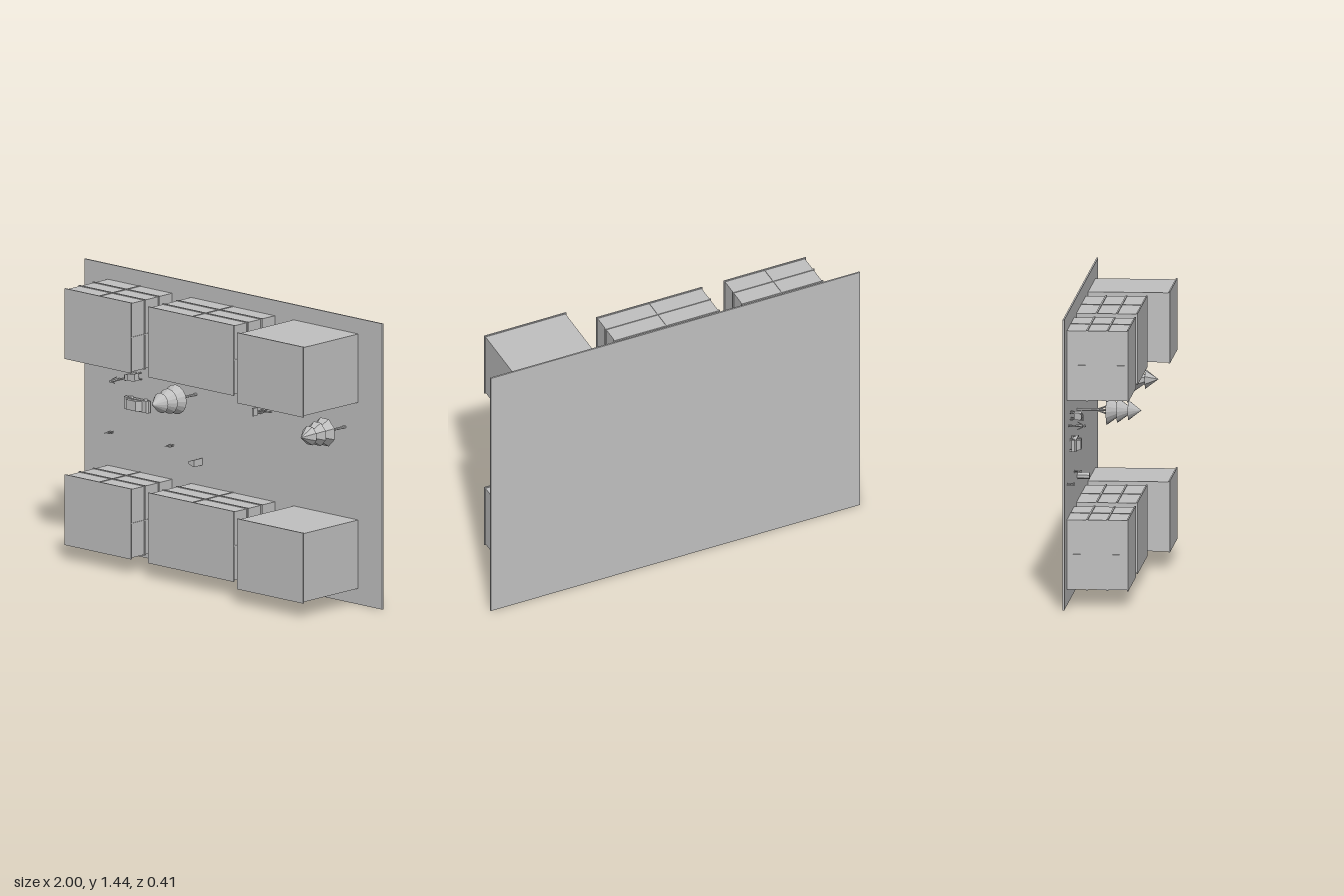
import * as THREE from 'three';

const grey = new THREE.MeshStandardMaterial({ color: 0xc0c0c0 });
grey.name = 'plain grey';
grey.flatShading = true;

// The city is built y-up on a ground at y = 0, then tipped so that up faces the front.
export function createModel() {
  const model = new THREE.Group();
  const city = new THREE.Group();
  city.name = 'city';
  city.rotation.x = Math.PI / 2;
  city.position.z = -0.197;
  model.add(city);

  const mesh = (parent, name, geo, x = 0, y = 0, z = 0) => {
    const m = new THREE.Mesh(geo, grey);
    m.name = name;
    m.position.set(x, y, z);
    parent.add(m);
    return m;
  };
  // Box standing on height y
  const box = (parent, name, w, h, d, x = 0, y = 0, z = 0) =>
    mesh(parent, name, new THREE.BoxGeometry(w, h, d), x, y + h / 2, z);
  // Thin round bar between two points
  const bar = (parent, name, a, b, r1, r2 = r1) => {
    const p = new THREE.Vector3(...a), q = new THREE.Vector3(...b);
    const dir = q.clone().sub(p);
    const m = mesh(parent, name, new THREE.CylinderGeometry(r2, r1, dir.length(), 6));
    m.position.copy(p).add(q).multiplyScalar(0.5);
    m.quaternion.setFromUnitVectors(new THREE.Vector3(0, 1, 0), dir.normalize());
  };
  // Group placed by its position across and up the plate
  const place = (name, x, up) => {
    const g = new THREE.Group();
    g.name = name;
    g.position.set(x, 0, -up);
    city.add(g);
    return g;
  };

  box(city, 'ground', 2, 0.008, 1.44, 0, -0.008, -0.72);

  // Two rows of blocks: two with floor ledges and a taller plain one
  for (const up of [0.2525, 1.19]) {
    for (const [x, w, h, ledged] of [[-0.6275, 0.445, 0.302, true], [-0.0025, 0.575, 0.302, true], [0.6225, 0.445, 0.402, false]]) {
      const b = place('building', x, up);
      box(b, 'walls', w - 0.012, h - 0.006, 0.345);
      box(b, 'roof', w, 0.007, 0.355, 0, h - 0.007);
      if (!ledged) continue;
      for (const y of [0.095, 0.195]) box(b, 'floorLedge', w - 0.002, 0.008, 0.353, 0, y);
      box(b, 'wallRibAcross', w - 0.006, h - 0.006, 0.005);
      box(b, 'wallRibAlong', 0.005, h - 0.006, 0.351);
    }
  }

  // Fir trees: three stacked cones on a forked trunk
  for (const [x, sides] of [[-0.25, 16], [0.75, 8]]) {
    const t = place('tree', x, 0.88);
    bar(t, 'trunk', [0, 0, 0], [0, 0.27, 0], 0.007, 0.004);
    for (const s of [-1, 1]) bar(t, 'branch', [0, 0.095, 0], [s * 0.012, 0.15, s * 0.022], 0.004);
    for (const [y, r, h] of [[0.147, 0.074, 0.1], [0.199, 0.063, 0.085], [0.253, 0.05, 0.064]]) {
      const c = mesh(t, 'foliage', new THREE.ConeGeometry(r, h, sides), 0, y + h / 2, 0);
      c.rotation.y = Math.PI / 8;
    }
  }

  // Car: side profile extruded across its width
  const car = place('car', -0.6275, 0.77);
  const extrude = (parent, name, pts, depth) => {
    const shape = new THREE.Shape(pts.map(p => new THREE.Vector2(...p)));
    const geo = new THREE.ExtrudeGeometry(shape, { depth, bevelEnabled: false });
    geo.translate(0, 0, -depth / 2);
    return mesh(parent, name, geo);
  };
  extrude(car, 'carBody', [[-0.082, 0.012], [0.082, 0.012], [0.083, 0.026], [0.074, 0.034],
    [-0.076, 0.034], [-0.083, 0.026]], 0.06);
  extrude(car, 'cabin', [[-0.06, 0.034], [0.046, 0.034], [0.022, 0.055], [-0.042, 0.055]], 0.05);
  for (const s of [-1, 1]) {
    box(car, 'doorPillar', 0.005, 0.021, 0.002, -0.008, 0.034, s * 0.026);
    for (const x of [-0.05, 0.05]) {
      const wheel = mesh(car, 'wheel', new THREE.CylinderGeometry(0.013, 0.013, 0.01, 12), x, 0.013, s * 0.026);
      wheel.rotation.x = Math.PI / 2;
    }
  }

  // Walking people
  for (const [x, up, turn] of [[-0.75, 0.877, 0.5], [0.247, 0.882, -0.3]]) {
    const p = place('person', x, up);
    p.rotation.y = turn;
    for (const s of [-1, 1]) {
      bar(p, 'leg', [s * 0.012, 0, s * 0.004], [0, 0.042, s * 0.003], 0.003, 0.004);
      bar(p, 'arm', [0, 0.068, s * 0.008], [s * -0.015, 0.044, s * 0.012], 0.0025);
    }
    bar(p, 'torso', [0, 0.04, 0], [0, 0.07, 0], 0.006, 0.008);
    mesh(p, 'head', new THREE.SphereGeometry(0.007, 8, 6), 0, 0.08, 0);
  }

  // Cart with slanted basket and push handle
  const cart = place('cart', -0.637, 0.91);
  cart.rotation.y = 0.12;
  extrude(cart, 'basket', [[-0.016, 0.02], [0.02, 0.02], [0.026, 0.056], [-0.022, 0.056]], 0.036);
  for (const s of [-1, 1]) {
    bar(cart, 'handleArm', [-0.015, 0.045, s * 0.014], [-0.034, 0.064, s * 0.014], 0.002);
    for (const x of [-0.016, 0.018]) {
      bar(cart, 'cartLeg', [x, 0.01, s * 0.014], [x, 0.024, s * 0.014], 0.002);
      const wheel = mesh(cart, 'cartWheel', new THREE.CylinderGeometry(0.008, 0.008, 0.004, 10), x, 0.008, s * 0.016);
      wheel.rotation.x = Math.PI / 2;
    }
  }
  bar(cart, 'pushHandle', [-0.034, 0.064, -0.016], [-0.034, 0.064, 0.016], 0.002);

  // Narrow upright sign
  const sign = place('sign', 0.2, 0.876);
  bar(sign, 'signPost', [0, 0, 0], [0, 0.05, 0], 0.003);
  box(sign, 'signBoard', 0.01, 0.03, 0.04, 0, 0.045, 0);

  // Small dogs
  for (const x of [-0.815, -0.41]) {
    const d = place('dog', x, 0.597);
    d.rotation.y = 0.1;
    box(d, 'dogBody', 0.024, 0.01, 0.008, 0, 0.017);
    box(d, 'dogHead', 0.011, 0.01, 0.007, 0.014, 0.026);
    bar(d, 'tail', [-0.011, 0.024, 0], [-0.018, 0.038, 0], 0.0015);
    for (const lx of [-0.009, 0.009])
      for (const lz of [-0.003, 0.003]) bar(d, 'dogLeg', [lx, 0, lz], [lx, 0.018, lz], 0.0015);
  }

  // Kiosk with a tapered plan
  const kiosk = place('kiosk', -0.227, 0.547);
  const k = extrude(kiosk, 'kioskBody', [[-0.018, -0.007], [0.018, -0.018], [0.018, 0.018], [-0.018, 0.007]], 0.06);
  k.rotation.x = -Math.PI / 2;
  k.position.y = 0.03;

  return model;
}
